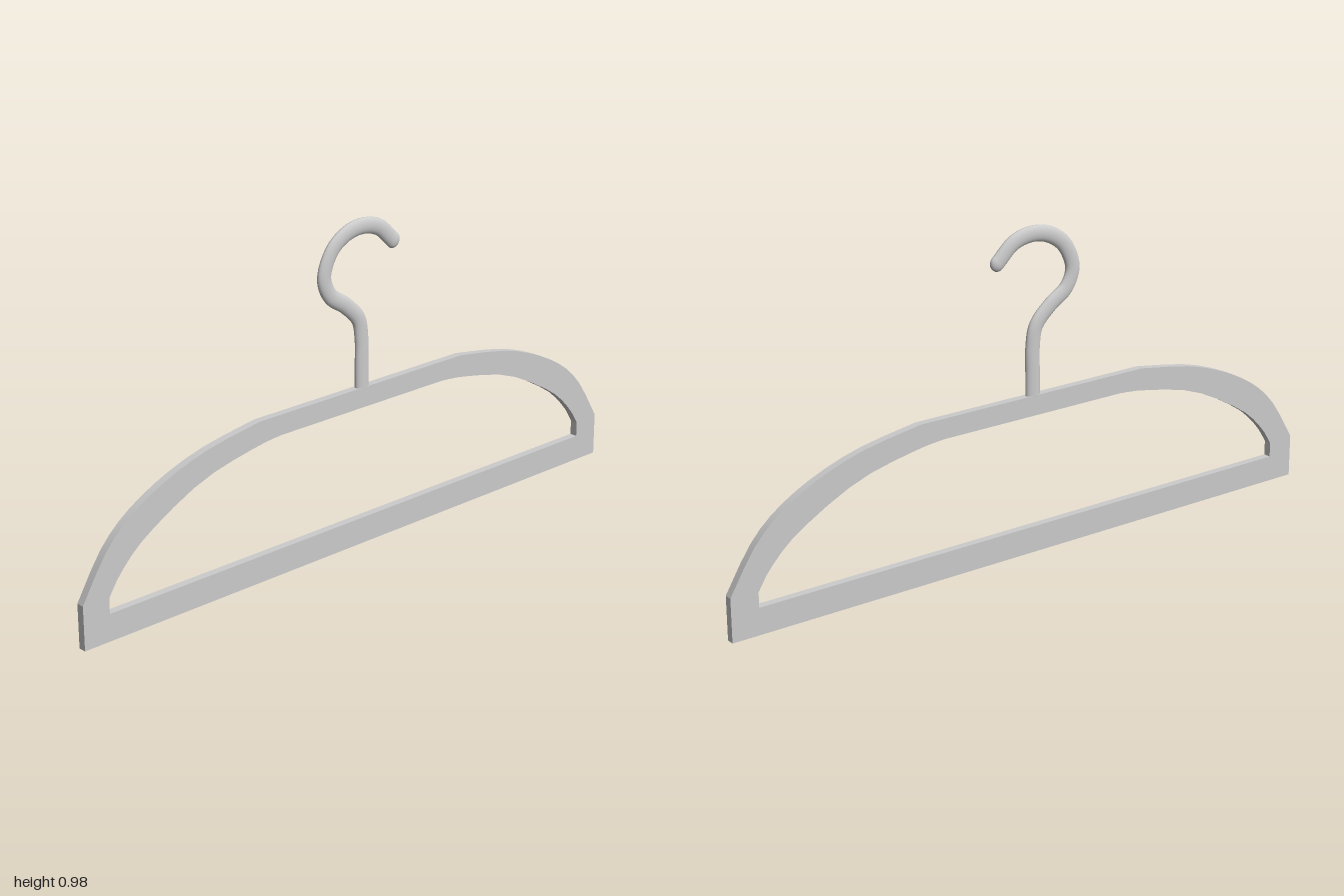
import * as THREE from 'three';
import { toCreasedNormals } from 'three/addons/utils/BufferGeometryUtils.js';

const material = new THREE.MeshStandardMaterial({ color: 0xcccccc });
const THICK = 0.024;

// Mirrored closed outline: flat base, short upright ends, arched shoulders
function outline(baseY, shoulder) {
  const arc = new THREE.SplineCurve(shoulder.map(([z, y]) => new THREE.Vector2(z, y))).getPoints(14);
  const half = [new THREE.Vector2(shoulder[0][0], baseY), ...arc];
  const mirrored = half.map((p) => new THREE.Vector2(-p.x, p.y)).reverse();
  return [...half, ...mirrored];
}

function createFrame() {
  const shape = new THREE.Shape(outline(0, [[1, 0.13], [0.905, 0.275], [0.78, 0.37], [0.6, 0.442], [0.39, 0.48]]));
  shape.holes.push(new THREE.Path(
    outline(0.08, [[0.915, 0.125], [0.87, 0.19], [0.78, 0.268], [0.595, 0.364], [0.407, 0.409], [0.31, 0.42]])));
  let geo = new THREE.ExtrudeGeometry(shape, { depth: THICK, bevelEnabled: false });
  geo.translate(0, 0, -THICK / 2).rotateY(-Math.PI / 2);
  geo = toCreasedNormals(geo, Math.PI / 9);
  const frame = new THREE.Mesh(geo, material);
  frame.name = 'frame';
  return frame;
}

function createHook() {
  const radius = 0.024;
  const points = [
    [0, 0.47], [0, 0.55], [0, 0.62], [0.012, 0.683], [0.06, 0.733], [0.118, 0.775], [0.14, 0.83],
    [0.112, 0.9], [0.062, 0.938], [0, 0.951], [-0.064, 0.936], [-0.12, 0.887],
  ].map(([z, y]) => new THREE.Vector3(0, y, z));
  const path = new THREE.CatmullRomCurve3(points);
  const hook = new THREE.Group();
  hook.name = 'hook';

  const rod = new THREE.Mesh(new THREE.TubeGeometry(path, 80, radius, 20), material);
  rod.name = 'hookRod';

  // Rounded end of the hook
  const tip = new THREE.Mesh(new THREE.SphereGeometry(radius, 20, 14), material);
  tip.name = 'hookTip';
  tip.position.copy(points[points.length - 1]);

  hook.add(rod, tip);
  hook.scale.x = THICK / (2 * radius); // flattened to the frame's thickness
  return hook;
}

export function createModel() {
  const hanger = new THREE.Group();
  hanger.name = 'clothesHanger';
  hanger.add(createFrame(), createHook());
  return hanger;
}
